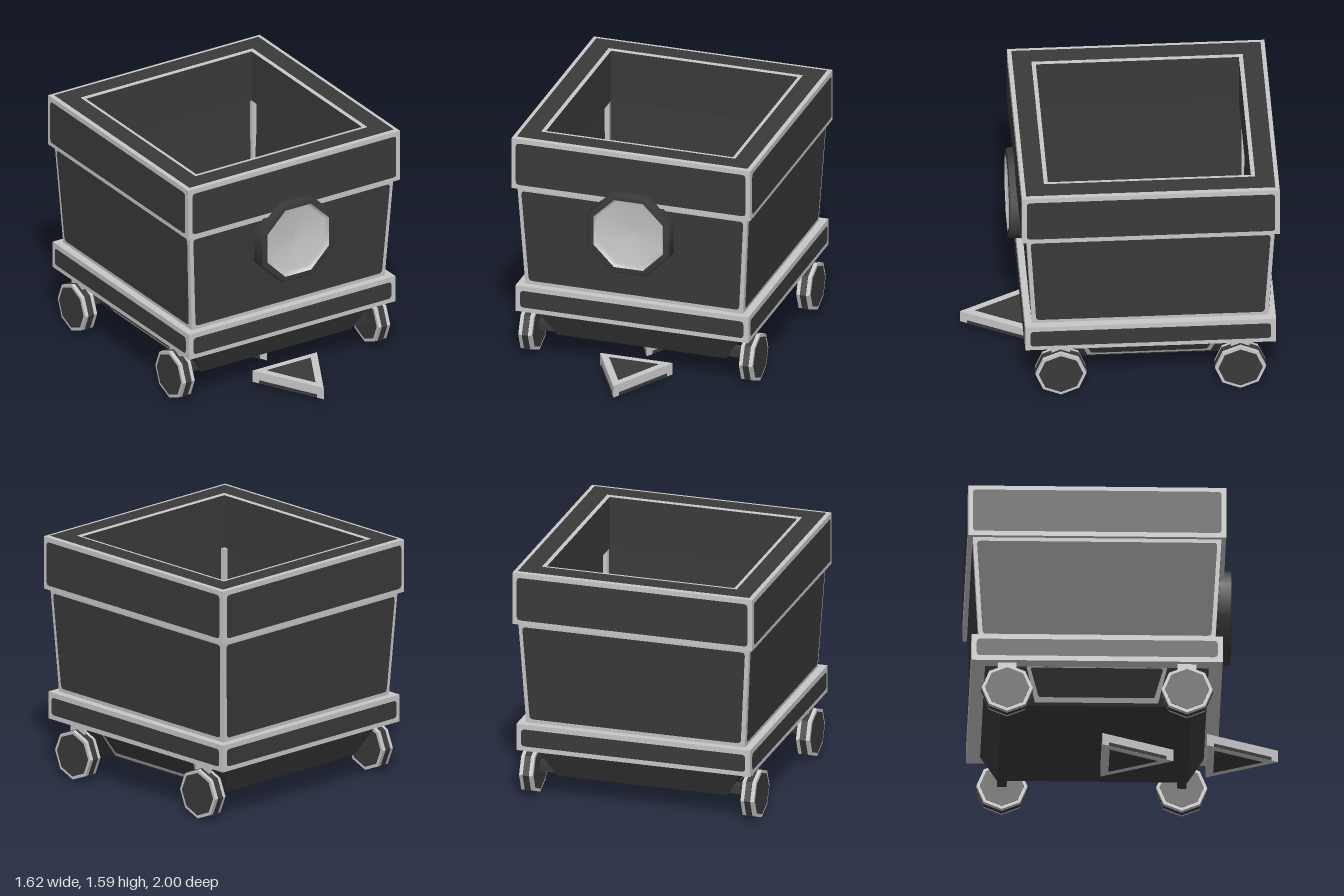
import * as THREE from 'three';

const dark = new THREE.MeshStandardMaterial({ color: 0x3a3a3a, side: THREE.DoubleSide });
dark.name = 'charcoal';
const light = new THREE.MeshStandardMaterial({ color: 0xc8c8c8, side: THREE.DoubleSide });
light.name = 'pale grey';

function add(parent, name, geometry, material, x = 0, y = 0, z = 0) {
  const m = new THREE.Mesh(geometry, material);
  m.name = name;
  m.position.set(x, y, z);
  parent.add(m);
  return m;
}

// Flat-faced rectangular loft through sections [halfX, halfZ, y]
function loft(sections) {
  const corners = [[1, 1], [1, -1], [-1, -1], [-1, 1]];
  const pos = [];
  for (let s = 0; s < sections.length - 1; s++) {
    for (let k = 0; k < 4; k++) {
      const p = (sec, c) => [sec[0] * c[0], sec[2], sec[1] * c[1]];
      const c0 = corners[k], c1 = corners[(k + 1) % 4];
      const a0 = p(sections[s], c0), a1 = p(sections[s], c1);
      const b0 = p(sections[s + 1], c0), b1 = p(sections[s + 1], c1);
      pos.push(...a0, ...a1, ...b1, ...a0, ...b1, ...b0);
    }
  }
  const g = new THREE.BufferGeometry();
  g.setAttribute('position', new THREE.Float32BufferAttribute(pos, 3));
  g.computeVertexNormals();
  return g;
}

// Trapezoid plate with rounded corners
function roundedTrapezoid(bottom, top, h, r) {
  const c = [[-bottom, -h / 2], [bottom, -h / 2], [top, h / 2], [-top, h / 2]].map(p => new THREE.Vector2(...p));
  const shape = new THREE.Shape();
  c.forEach((p, i) => {
    const toward = q => p.clone().add(q.clone().sub(p).setLength(r));
    const a = toward(c[(i + 3) % 4]), b = toward(c[(i + 1) % 4]);
    if (i === 0) shape.moveTo(a.x, a.y); else shape.lineTo(a.x, a.y);
    shape.quadraticCurveTo(p.x, p.y, b.x, b.y);
  });
  shape.closePath();
  return new THREE.ShapeGeometry(shape, 4);
}

// Lays a plate on a leaning face; d0 and d1 are the face's distance from the axis at y0 and y1
function panel(parent, name, mat, w0, w1, d0, d1, y0, y1, turn, inset, lift = 0.004, r = 0.025) {
  const a = Math.atan2(d1 - d0, y1 - y0);
  const h = Math.hypot(d1 - d0, y1 - y0) - 2 * inset;
  const d = (d0 + d1) / 2 + Math.cos(a) * lift;
  const m = add(parent, name, roundedTrapezoid(w0 - inset, w1 - inset, h, r), mat,
    Math.sin(turn) * d, (y0 + y1) / 2 - Math.sin(a) * lift, Math.cos(turn) * d);
  m.rotation.set(a, turn, 0, 'YXZ');
}

function fourPanels(parent, name, b, t, inset) {
  for (let k = 0; k < 4; k++) {
    const w = k % 2, d = 1 - w;
    panel(parent, name, dark, b[w], t[w], b[d], t[d], b[2], t[2], k * Math.PI / 2, inset);
  }
}

function addTub(cart) {
  // Rim with pale edges
  const rimLow = [0.805, 0.825, 1.23], rimHigh = [0.805, 0.825, 1.58];
  add(cart, 'rim', loft([[0.69, 0.71, 1.23], rimLow, rimHigh, [0.63, 0.65, 1.58]]), light);
  add(cart, 'rimTop', loft([[0.778, 0.798, 1.584], [0.655, 0.677, 1.584]]), dark);
  fourPanels(cart, 'rimPanel', rimLow, rimHigh, 0.03);

  // Tapered tub and its panels
  const tubLow = [0.735, 0.757, 0.54], tubHigh = [0.775, 0.795, 1.23];
  add(cart, 'tub', loft([tubLow, tubHigh]), light);
  fourPanels(cart, 'tubPanel', tubLow, tubHigh, 0.026);

  // Hollow inside
  add(cart, 'tubInside', loft([[0.63, 0.65, 1.58], [0.63, 0.65, 1.23], [0.69, 0.71, 1.23],
    [0.66, 0.68, 0.55], [0, 0, 0.55]]), dark);
  for (const sx of [1, -1]) for (const sz of [1, -1]) {
    add(cart, 'insideCornerTrim', new THREE.BoxGeometry(0.03, 0.66, 0.03), light, sx * 0.665, 0.88, sz * 0.685);
  }
}

function addChassis(cart) {
  const low = [0.785, 0.803, 0.36], high = [0.785, 0.803, 0.54];
  add(cart, 'base', loft([[0, 0, 0.36], low, high, [0, 0, 0.54]]), light);
  fourPanels(cart, 'basePanel', low, high, 0.032);

  // Underbody with framed sides
  add(cart, 'underbody', loft([[0, 0, 0.14], [0.57, 0.61, 0.14], [0.69, 0.715, 0.36]]), dark);
  for (const s of [1, -1]) {
    const turn = s * Math.PI / 2;
    panel(cart, 'sideFrame', light, 0.395, 0.45, 0.58, 0.69, 0.16, 0.36, turn, 0, 0.004, 0.005);
    panel(cart, 'sideFramePanel', dark, 0.375, 0.43, 0.594, 0.69, 0.185, 0.36, turn, 0.005, 0.008, 0.015);
  }

  // Eight-sided wheels
  const drum = (r, w) => new THREE.CylinderGeometry(r, r, w, 8).toNonIndexed().rotateZ(Math.PI / 2);
  for (const s of [1, -1]) for (const z of [0.575, -0.575]) {
    const wheel = new THREE.Group();
    wheel.name = 'wheel';
    wheel.position.set(s * 0.744, 0.165, z);
    const parts = [['wheelRim', 0.163, 0.09, light], ['wheelFace', 0.142, 0.096, dark], ['tread', 0.166, 0.04, dark]];
    for (const [name, r, w, mat] of parts) {
      const g = drum(r, w);
      g.computeVertexNormals();
      add(wheel, name, g, mat);
    }
    add(wheel, 'axle', new THREE.BoxGeometry(0.16, 0.06, 0.06), dark, -s * 0.1, 0.02, 0);
    add(wheel, 'wheelBracket', new THREE.BoxGeometry(0.03, 0.06, 0.12), light, -s * 0.01, 0.17, 0);
    cart.add(wheel);
  }
}

// Octagonal headlamp
function addLamp(root) {
  const ring = pts => new THREE.LatheGeometry(pts.map(p => new THREE.Vector2(...p)), 8, Math.PI / 8).rotateX(Math.PI / 2);
  const lamp = new THREE.Group();
  lamp.name = 'lamp';
  lamp.position.set(0, 1.035, 0.58);
  add(lamp, 'lampHousing', ring([[0.3, 0], [0.3, 0.11], [0.29, 0.12], [0.255, 0.12]]), dark);
  add(lamp, 'lampLens', ring([[0.255, 0.12], [0.232, 0.09], [0, 0.075]]), light);
  root.add(lamp);
}

// Flat triangular pointer lying near the ground, tip forward
function addPointer(root, z) {
  const prism = (k, depth) => {
    const s = new THREE.Shape([[-0.245, -0.153], [0.245, -0.153], [0, 0.307]].map(p => new THREE.Vector2(p[0] * k, p[1] * k)));
    return new THREE.ExtrudeGeometry(s, { depth, bevelEnabled: false }).translate(0, 0, -depth / 2).rotateX(Math.PI / 2);
  };
  const pointer = new THREE.Group();
  pointer.name = 'pointer';
  pointer.position.set(0, 0.065, z + 0.153);
  add(pointer, 'pointerFrame', prism(1, 0.08), light);
  add(pointer, 'pointerInset', prism(0.68, 0.086), dark);
  for (const s of [1, -1]) {
    const strip = add(pointer, 'pointerSideStrip', new THREE.BoxGeometry(0.006, 0.022, 0.42), dark, s * 0.1225, -0.028, 0.077);
    strip.rotation.y = -s * Math.atan2(0.245, 0.46);
  }
  root.add(pointer);
}

export function createModel() {
  const root = new THREE.Group();
  root.name = 'mineCart';
  const cart = new THREE.Group();
  cart.name = 'cart';
  cart.position.z = -0.175;
  root.add(cart);
  addTub(cart);
  addChassis(cart);
  addLamp(root);
  addPointer(root, 0.54);
  addPointer(root, -0.13);
  return root;
}
